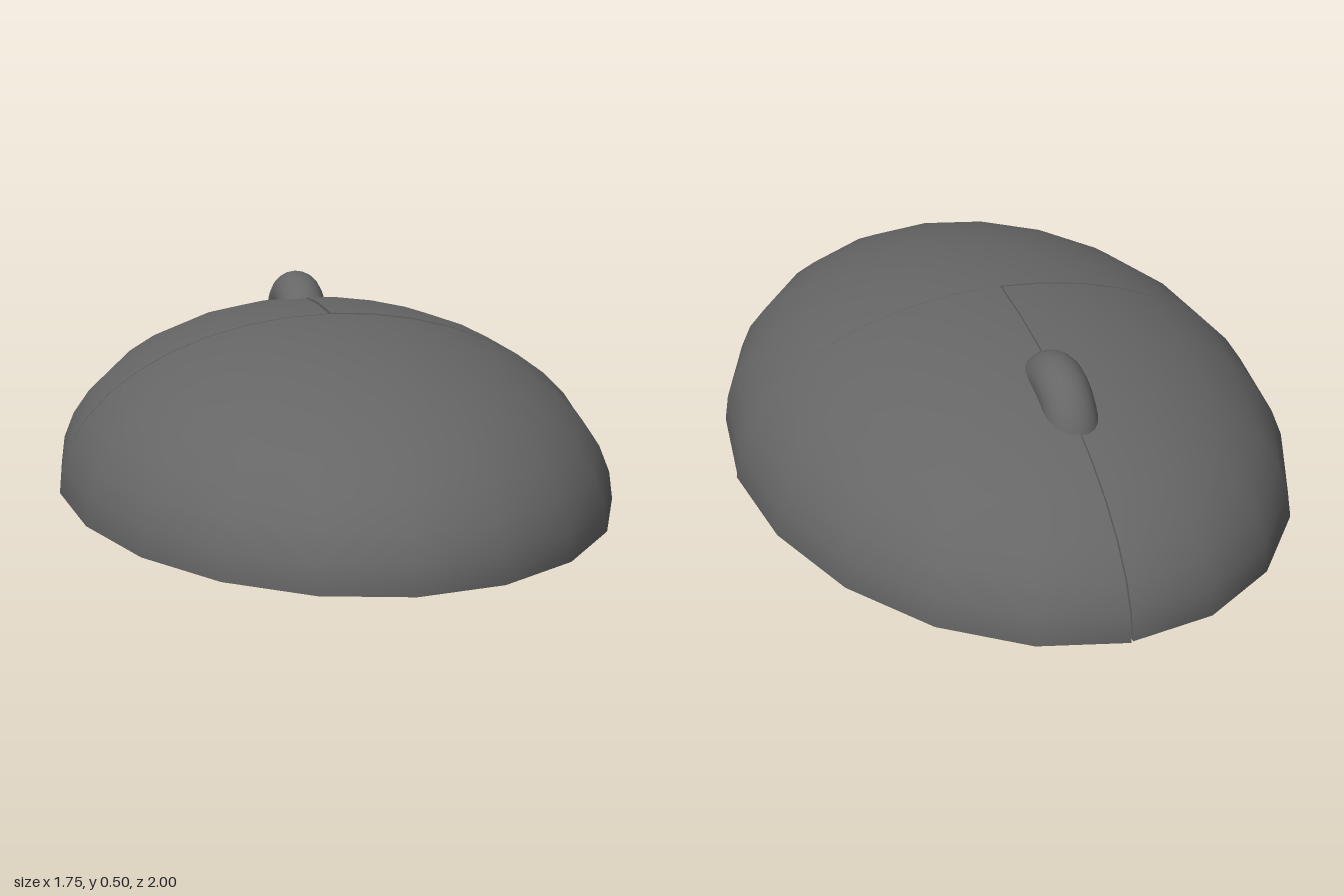
import * as THREE from 'three';

// half width, height and half length of the domed body
const R = new THREE.Vector3(0.757, 0.474, 1.106);
const SEGMENTS = 20, ROWS = 10, GAP = 0.003;

// Solid slice of the dome between two azimuth steps, pulled back by limit() to leave the seams
function domeSlice(name, from, to, material, scale, limit = (p) => p) {
  const positions = [], normals = [];
  const point = (col, row) => {
    const a = (col / SEGMENTS) * Math.PI * 2, t = (row / ROWS) * Math.PI / 2;
    const r = row === ROWS ? 0 : Math.cos(t);
    return limit(new THREE.Vector3(Math.cos(a) * r, Math.sin(t), Math.sin(a) * r).multiply(R).multiplyScalar(scale));
  };
  const smooth = (p) => p.clone().divide(R).divide(R).normalize();
  const triangle = (a, b, c, rounded) => {
    const flat = new THREE.Triangle(a, b, c).getNormal(new THREE.Vector3());
    for (const p of [a, b, c]) {
      positions.push(...p.toArray());
      normals.push(...(rounded ? smooth(p) : flat).toArray());
    }
  };
  const hub = limit(new THREE.Vector3());
  for (let c = from; c < to; c++) {
    for (let r = 0; r < ROWS; r++) {
      const a = point(c, r), b = point(c, r + 1), d = point(c + 1, r + 1), e = point(c + 1, r);
      triangle(a, b, e, true);
      if (r < ROWS - 1) triangle(b, d, e, true);
    }
    triangle(hub, point(c, 0), point(c + 1, 0), false); // underside
  }
  // walls facing the seams
  if (to - from < SEGMENTS) {
    for (let r = 0; r < ROWS; r++) {
      triangle(hub, point(from, r + 1), point(from, r), false);
      triangle(hub, point(to, r), point(to, r + 1), false);
    }
  }
  const geometry = new THREE.BufferGeometry();
  geometry.setAttribute('position', new THREE.Float32BufferAttribute(positions, 3));
  geometry.setAttribute('normal', new THREE.Float32BufferAttribute(normals, 3));
  const mesh = new THREE.Mesh(geometry, material);
  mesh.name = name;
  return mesh;
}

export function createModel() {
  const model = new THREE.Group();
  model.name = 'computerMouse';
  const darkGrey = new THREE.MeshStandardMaterial({ color: 0x666666 });

  const body = new THREE.Group();
  body.name = 'body';
  body.rotation.y = -Math.atan2(0.62, 0.91); // nose points to the back left
  model.add(body);

  // palm rest: rear half of the dome
  body.add(domeSlice('palmRest', 0, 10, darkGrey, 1, (p) => p.setZ(Math.max(p.z, GAP))));

  // two click buttons: front quarters, the left one standing slightly proud
  body.add(domeSlice('rightButton', 10, 15, darkGrey, 1,
    (p) => p.set(Math.min(p.x, -GAP), p.y, Math.min(p.z, -GAP))));
  body.add(domeSlice('leftButton', 15, 20, darkGrey, 1.005,
    (p) => p.set(Math.max(p.x, GAP), p.y, Math.min(p.z, -GAP))));

  // core closing the bottom of the seams
  body.add(domeSlice('core', 0, SEGMENTS, darkGrey, 0.985));

  // scroll wheel with a rounded rim, mostly sunk in the body
  const wheel = new THREE.Mesh(new THREE.TorusGeometry(0.132, 0.07, 20, 48), darkGrey);
  wheel.name = 'scrollWheel';
  wheel.rotation.y = Math.PI / 2;
  wheel.position.set(0, 0.297, -0.507);
  body.add(wheel);

  return model;
}
